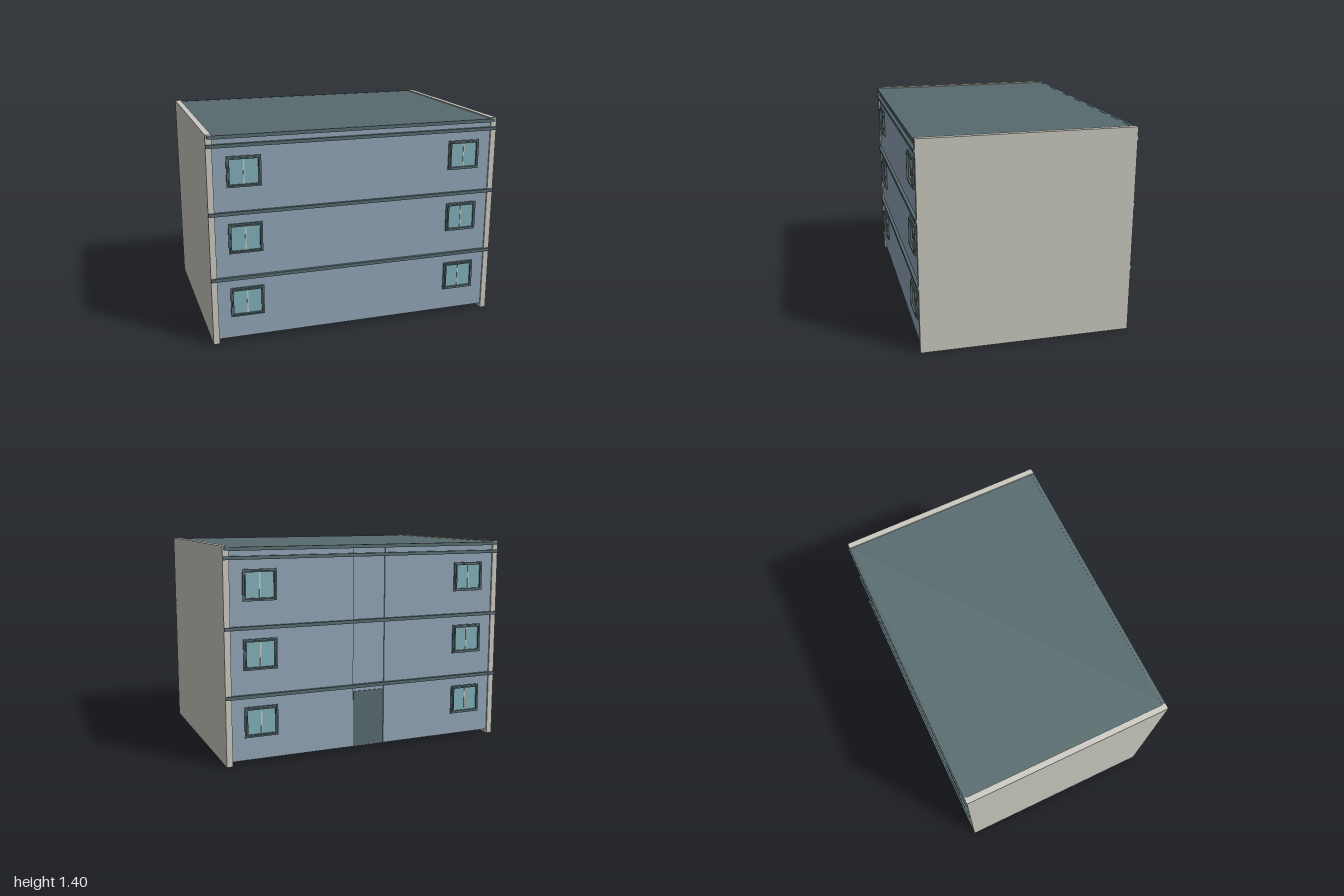
import * as THREE from 'three';

const mat = (name, color) => {
  const m = new THREE.MeshStandardMaterial({ color });
  m.name = name;
  return m;
};

export function createModel() {
  const wallBlue = mat('blue wall', 0x91a5b8);
  const cream = mat('cream concrete', 0xcac9c0);
  const trim = mat('dark teal trim', 0x566a6e);
  const glass = mat('window glass', 0x80b0ba);

  const model = new THREE.Group();
  model.name = 'apartmentBlock';

  // Box given by its lower and upper limits on each axis
  const box = (parent, name, material, [x0, x1], [y0, y1], [z0, z1]) => {
    const mesh = new THREE.Mesh(new THREE.BoxGeometry(x1 - x0, y1 - y0, z1 - z0), material);
    mesh.position.set((x0 + x1) / 2, (y0 + y1) / 2, (z0 + z1) / 2);
    mesh.name = name;
    parent.add(mesh);
    return mesh;
  };

  // Rectangular ring, extruded from z0 to z1
  const ring = (parent, name, w, h, t, z0, z1) => {
    const rect = (P, a, b) => new P([
      new THREE.Vector2(-a, -b), new THREE.Vector2(a, -b),
      new THREE.Vector2(a, b), new THREE.Vector2(-a, b)]);
    const shape = rect(THREE.Shape, w / 2, h / 2);
    shape.holes.push(rect(THREE.Path, w / 2 - t, h / 2 - t));
    const mesh = new THREE.Mesh(
      new THREE.ExtrudeGeometry(shape, { depth: z1 - z0, bevelEnabled: false }), trim);
    mesh.position.z = z0;
    mesh.name = name;
    parent.add(mesh);
  };

  // Window: stepped frame, glass and central mullion
  const addWindow = (parent, x, y) => {
    const win = new THREE.Group();
    win.name = 'window';
    win.position.set(x, y, 0);
    ring(win, 'outerFrame', 0.224, 0.2, 0.014, 0.69, 0.709);
    ring(win, 'innerFrame', 0.204, 0.18, 0.009, 0.69, 0.717);
    box(win, 'glass', glass, [-0.094, 0.094], [-0.083, 0.083], [0.698, 0.704]);
    box(win, 'mullion', cream, [-0.004, 0.004], [-0.082, 0.082], [0.7, 0.708]);
    parent.add(win);
  };

  // Cream gable walls
  for (const s of [-1, 1]) {
    const w = box(model, 'endWall', cream, [0.958, 0.998], [0, 1.4], [-0.71, 0.71]);
    w.position.x *= s;
  }

  // Building body, floor and roof
  box(model, 'body', wallBlue, [-0.958, 0.958], [0.03, 1.372], [-0.692, 0.7]);
  box(model, 'floorSlab', cream, [-0.958, 0.958], [0.027, 0.032], [-0.695, 0.695]);
  box(model, 'roof', trim, [-0.958, 0.958], [1.37, 1.392], [-0.71, 0.71]);

  // Front and back facades carry the same bands and windows
  for (const side of ['front', 'back']) {
    const facade = new THREE.Group();
    facade.name = side + 'Facade';
    if (side === 'back') facade.rotation.y = Math.PI;
    for (const y of [0.437, 0.876, 1.315]) {
      box(facade, 'floorBand', trim, [-0.997, 0.997], [y, y + 0.022], [0.69, 0.721]);
    }
    box(facade, 'eavesBand', trim, [-0.988, 0.988], [1.37, 1.393], [0.69, 0.715]);
    for (const y of [0.278, 0.716, 1.155]) {
      for (const x of [-0.762, 0.762]) addWindow(facade, x, y);
    }
    model.add(facade);
  }

  // Back wall panels either side of the recessed stair bay
  for (const s of [-1, 1]) {
    const p = box(model, 'backWallPanel', wallBlue, [0.115, 0.958], [0.03, 1.372], [-0.7, -0.69]);
    p.position.x *= s;
  }

  // Back entrance door
  box(model, 'backDoor', trim, [-0.112, 0.112], [0.032, 0.41], [-0.697, -0.69]);

  return model;
}
